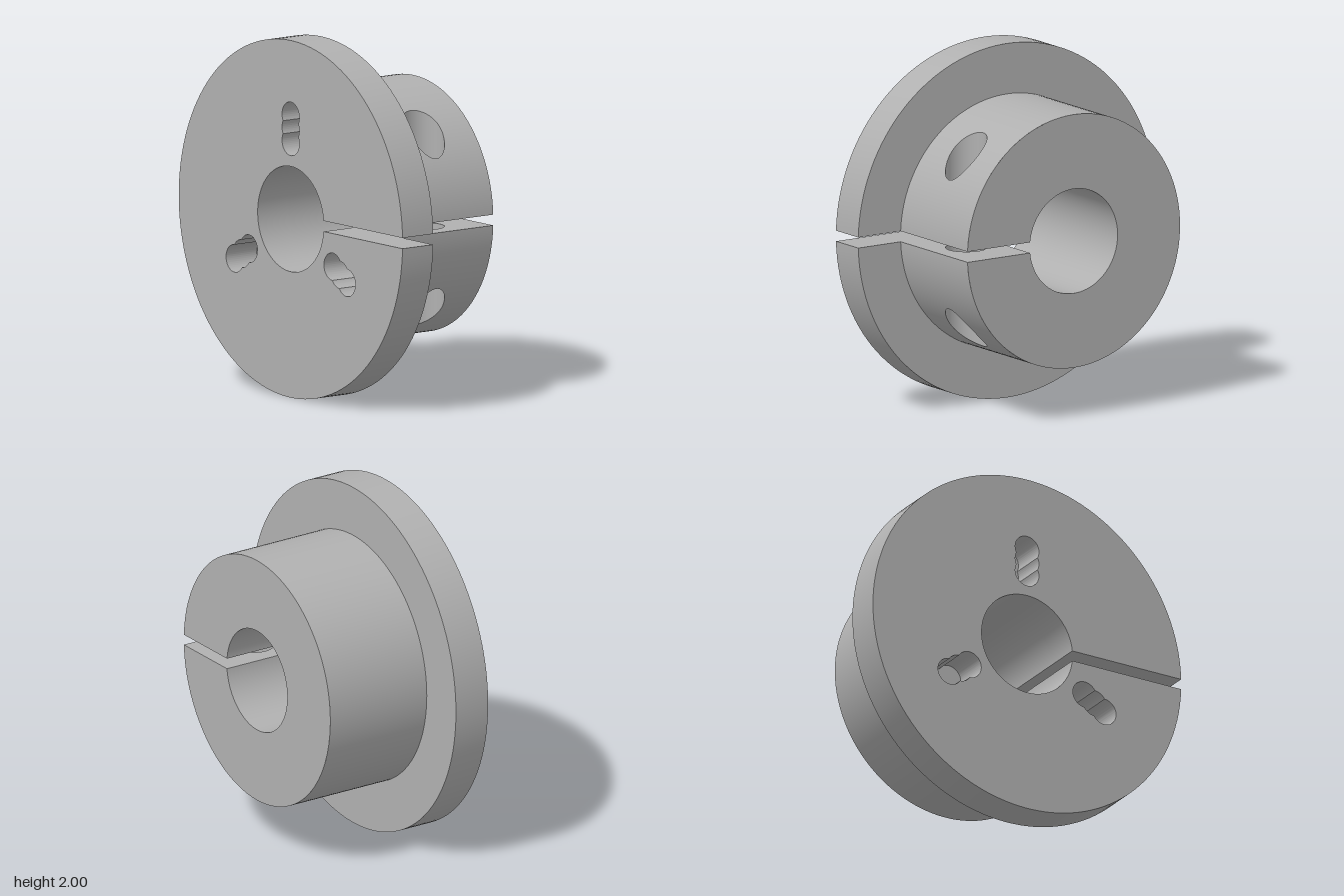
import * as THREE from 'three';
import { toCreasedNormals } from 'three/addons/utils/BufferGeometryUtils.js';
import { ParametricGeometry } from 'three/addons/geometries/ParametricGeometry.js';

const FLANGE_R = 1, HUB_R = 0.715, BORE_R = 0.295;
const Z_BACK = -0.43, Z_STEP = 0.215, Z_FRONT = 0.43;
const SLIT = 0.03;                                  // half height of the clamping slit
const SCREW = { x: 0.5, z: -0.11, r: 0.115 };       // vertical clamp screw hole

// Ring cut open by the slit on the +x side
function splitRing(outer, inner) {
  const a = Math.asin(SLIT / outer), b = Math.asin(SLIT / inner);
  const shape = new THREE.Shape();
  shape.absarc(0, 0, outer, a, Math.PI * 2 - a, false);
  shape.absarc(0, 0, inner, Math.PI * 2 - b, b, true);
  shape.closePath();
  return shape;
}

// Radial slot made of three overlapping drilled circles
function drilledSlot(angle) {
  const r = 0.077, step = 0.073, mid = 0.505;
  const f = Math.acos(step / 2 / r), P = Math.PI;
  const path = new THREE.Path();
  const arc = (d, from, to) =>
    path.absarc(d * Math.cos(angle), d * Math.sin(angle), r, angle + from, angle + to, false);
  arc(mid + step, f - P, P - f);
  arc(mid, f, P - f);
  arc(mid - step, f, 2 * P - f);
  arc(mid, P + f, 2 * P - f);
  path.closePath();
  return path;
}

// Piece of a cylinder wall; theta(u) and z limits lo(u), hi(u)
function wall(radius, theta, lo, hi, segments, facing = 1) {
  const geo = new ParametricGeometry((u, v, p) => {
    const t = theta(u);
    p.set(radius * Math.cos(t), radius * Math.sin(t), lo(u) + v * (hi(u) - lo(u)));
  }, segments, 1);
  const pos = geo.attributes.position, n = geo.attributes.normal;
  for (let i = 0; i < pos.count; i++) {
    n.setXYZ(i, facing * pos.getX(i) / radius, facing * pos.getY(i) / radius, 0);
  }
  return geo;
}

export function createModel() {
  const model = new THREE.Group();
  model.name = 'splitClampFlange';
  const metal = new THREE.MeshStandardMaterial({ color: 0xb0b0b0 });
  metal.name = 'grey metal';
  const body = new THREE.Group();
  body.name = 'collar';
  body.position.y = 1;
  model.add(body);
  const add = (name, geo) => {
    const mesh = new THREE.Mesh(geo, metal);
    mesh.name = name;
    body.add(mesh);
    return mesh;
  };

  // Flange with three slots, closed behind by the hub
  const plate = splitRing(FLANGE_R, BORE_R);
  for (const deg of [90, 210, 330]) plate.holes.push(drilledSlot(THREE.MathUtils.degToRad(deg)));
  const flange = new THREE.ExtrudeGeometry(plate, {
    depth: Z_FRONT - Z_STEP, bevelEnabled: false, curveSegments: 64,
  });
  add('flange', toCreasedNormals(flange, 0.4)).position.z = Z_STEP;

  // Hub end faces
  const ring = splitRing(HUB_R, BORE_R);
  add('slotFloor', new THREE.ShapeGeometry(ring, 64)).position.z = Z_STEP;
  add('hubBackFace', new THREE.ShapeGeometry(ring, 64).rotateX(Math.PI)).position.z = Z_BACK;

  // Hub outer wall away from the screw hole
  const back = () => Z_BACK, step = () => Z_STEP;
  const span = (a, b) => (u) => a + u * (b - a);
  const a0 = Math.asin(SLIT / HUB_R);
  const tA = Math.acos((SCREW.x + SCREW.r) / HUB_R);
  const tB = Math.acos((SCREW.x - SCREW.r) / HUB_R);
  add('hubWall', wall(HUB_R, span(tB, Math.PI * 2 - tB), back, step, 96));
  add('hubWallUpperLip', wall(HUB_R, span(a0, tA), back, step, 12));
  add('hubWallLowerLip', wall(HUB_R, span(-tA, -a0), back, step, 12));

  // Bore through the hub
  const b0 = Math.asin(SLIT / BORE_R);
  add('bore', wall(BORE_R, span(Math.PI * 2 - b0, b0), back, step, 128, -1));

  for (const s of [1, -1]) {
    const side = s > 0 ? 'upper' : 'lower';

    // Hub wall behind and in front of the screw hole
    const theta = (u) => s * Math.acos((SCREW.x + s * SCREW.r * Math.cos(Math.PI * u)) / HUB_R);
    const rim = (k) => (u) => SCREW.z + k * SCREW.r * Math.sin(Math.PI * u);
    add(side + 'WallBehindHole', wall(HUB_R, theta, back, rim(-1), 40));
    add(side + 'WallBeforeHole', wall(HUB_R, theta, rim(1), step, 40));

    // Screw hole from the slit to the outer wall
    add(side + 'ScrewHole', new ParametricGeometry((u, v, p) => {
      const f = s * u * Math.PI * 2;
      const x = SCREW.x + SCREW.r * Math.cos(f);
      const top = Math.sqrt(HUB_R * HUB_R - x * x);
      p.set(x, s * (SLIT + v * (top - SLIT)), SCREW.z + SCREW.r * Math.sin(f));
    }, 80, 1));

    // Slit face of the hub
    const x0 = BORE_R * Math.cos(b0), x1 = HUB_R * Math.cos(a0);
    const face = new THREE.Shape([
      [x0, Z_BACK], [x1, Z_BACK], [x1, Z_STEP], [x0, Z_STEP],
    ].map(([x, z]) => new THREE.Vector2(x, s * z)));
    face.holes.push(new THREE.Path().absarc(SCREW.x, s * SCREW.z, SCREW.r, 0, Math.PI * 2, false));
    add(side + 'SlitFace', new THREE.ShapeGeometry(face, 40).rotateX(s * Math.PI / 2)).position.y = s * SLIT;
  }
  return model;
}
